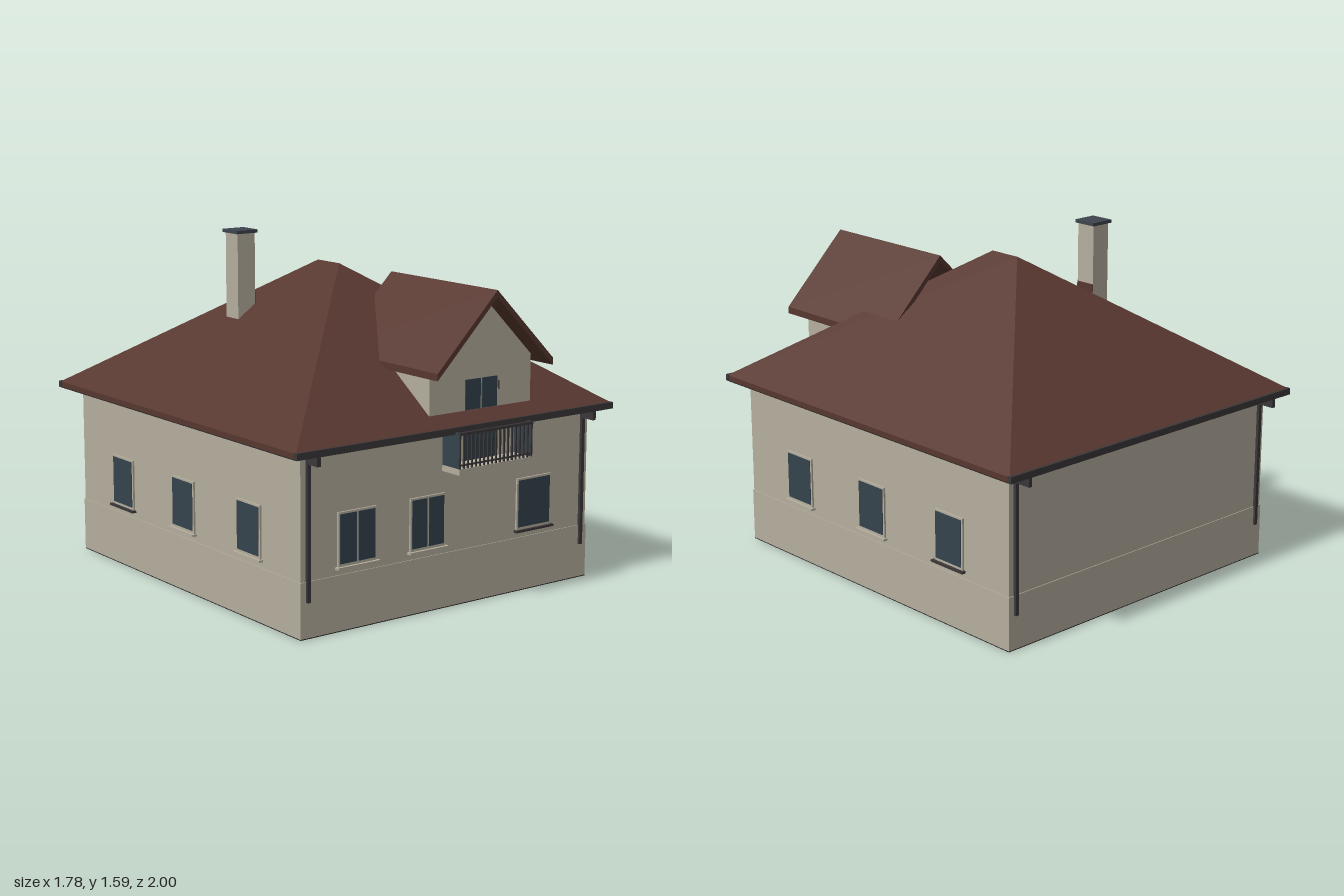
import * as THREE from 'three';

const paint = (name, color, side = THREE.FrontSide) => {
  const m = new THREE.MeshStandardMaterial({ color, side });
  m.name = name;
  return m;
};

export function createModel() {
  const house = new THREE.Group();
  house.name = 'house';
  const plaster = paint('plaster', 0xb5ae9e);
  const tile = paint('roofTile', 0x57372f);
  const metal = paint('darkMetal', 0x3b3739);
  const glass = paint('glass', 0x35434d);
  const capBlue = paint('capSlate', 0x3d444d);
  const underside = paint('underside', 0x2b2829);

  const add = (name, geo, mat, parent = house) => {
    const m = new THREE.Mesh(geo, mat);
    m.name = name;
    parent.add(m);
    return m;
  };
  // Box given by its limits on each axis
  const box = (name, mat, x0, x1, y0, y1, z0, z1, parent = house) => {
    const m = add(name, new THREE.BoxGeometry(x1 - x0, y1 - y0, z1 - z0), mat, parent);
    m.position.set((x0 + x1) / 2, (y0 + y1) / 2, (z0 + z1) / 2);
    return m;
  };
  // Outline in x, y extruded from z0 to z1
  const prism = (name, mat, points, z0, z1) => {
    const shape = new THREE.Shape(points.map(p => new THREE.Vector2(...p)));
    const geo = new THREE.ExtrudeGeometry(shape, { depth: z1 - z0, bevelEnabled: false });
    geo.translate(0, 0, z0);
    return add(name, geo, mat);
  };

  // Walls and plinth
  box('walls', plaster, -0.81, 0.81, 0.25, 0.81, -0.907, 0.88);
  box('plinth', plaster, -0.814, 0.814, 0.004, 0.25, -0.911, 0.884);
  box('floorSlab', underside, -0.814, 0.814, 0, 0.004, -0.911, 0.884);

  // Hipped roof: eave rectangle, fascia and short ridge
  const X = 0.885, ZB = -0.99, ZF = 0.955, E = 0.825, F = 0.8;
  const a = [-X, E, ZF], b = [X, E, ZF], c = [X, E, ZB], d = [-X, E, ZB];
  const rf = [0, 1.44, 0.065], rb = [0, 1.44, -0.1];
  const low = p => [p[0], F, p[2]];
  const tris = [a, b, rf, c, d, rb, b, c, rb, b, rb, rf, d, a, rf, d, rf, rb];
  [[a, b], [b, c], [c, d], [d, a]].forEach(([p, q]) => tris.push(low(p), low(q), q, low(p), q, p));
  const roofGeo = new THREE.BufferGeometry();
  roofGeo.setAttribute('position', new THREE.Float32BufferAttribute(tris.flat(), 3));
  roofGeo.computeVertexNormals();
  add('mainRoof', roofGeo, tile);
  box('soffit', underside, -X, X, F - 0.004, F, ZB, ZF);

  // Gutters, elbows and downpipes
  [[ZF, 0.88, 1], [ZB, -0.907, -1]].forEach(([eave, wall, s]) => {
    const span = (p, q) => [Math.min(p, q), Math.max(p, q)];
    box('gutter', metal, -0.888, 0.888, 0.798, 0.828, ...span(eave - s * 0.012, eave + s * 0.01));
    for (const x of [-0.775, 0.775]) {
      box('downpipeElbow', metal, x - 0.009, x + 0.009, 0.757, 0.8, ...span(wall, eave + s * 0.008));
      box('downpipe', metal, x - 0.009, x + 0.009, 0.16, 0.78, ...span(wall, wall + s * 0.014));
    }
  });

  // Dormer: gable front, cheeks and a chevron roof
  const DX = 0.16;
  prism('dormerGable', plaster,
    [[DX - 0.29, 0.875], [DX + 0.29, 0.875], [DX + 0.29, 1.09], [DX, 1.38], [DX - 0.29, 1.09]], 0.86, 0.885);
  for (const s of [-1, 1]) {
    const x = DX + s * 0.28;
    box('dormerCheek', plaster, x - 0.01, x + 0.01, 0.86, 1.09, 0.5, 0.87);
  }
  prism('dormerRoof', tile,
    [[DX - 0.33, 1.048], [DX, 1.378], [DX + 0.33, 1.048], [DX + 0.33, 1.08], [DX, 1.41], [DX - 0.33, 1.08]],
    0.25, 0.987);

  // Balcony door, below and above the eave
  for (const x of [0.07, 0.165]) {
    box('balconyDoor', glass, x, x + 0.086, 0.65, 0.796, 0.88, 0.885);
    box('dormerWindow', glass, x, x + 0.086, 0.877, 1.012, 0.885, 0.89);
  }
  box('doorHandle', metal, 0.259, 0.263, 0.95, 0.99, 0.885, 0.892);

  // Balcony with railing
  const balcony = new THREE.Group();
  balcony.name = 'balcony';
  house.add(balcony);
  box('balconySlab', plaster, -0.05, 0.37, 0.622, 0.65, 0.88, 0.997, balcony);
  box('topRail', metal, -0.05, 0.37, 0.798, 0.81, 0.985, 1, balcony);
  box('bottomRail', metal, -0.05, 0.37, 0.662, 0.669, 0.989, 0.996, balcony);
  for (let i = 0; i <= 18; i++) {
    const x = -0.046 + i * 0.412 / 18;
    box('baluster', metal, x - 0.0035, x + 0.0035, 0.65, 0.8, 0.989, 0.996, balcony);
  }
  for (const x of [-0.05, 0.362]) box('sidePanel', glass, x, x + 0.008, 0.65, 0.808, 0.88, 0.99, balcony);

  // Window facing +z about its own middle: frame, panes and sill
  const makeWindow = (width, panes, sillMat) => {
    const g = new THREE.Group();
    g.name = 'window';
    const h = width / 2;
    const edge = 0.009, gap = 0.01;
    box('windowFrame', plaster, -h, h, 0.287, 0.525, 0, 0.009, g);
    const w = (width - 2 * edge - (panes - 1) * gap) / panes;
    for (let i = 0; i < panes; i++) {
      const x = -h + edge + i * (w + gap);
      box('windowPane', glass, x, x + w, 0.299, 0.516, 0.009, 0.011, g);
    }
    box('windowSill', sillMat, -h - 0.01, h + 0.01, 0.277, 0.287, 0, 0.022, g);
    house.add(g);
    return g;
  };
  [[-0.518, 0.205, 2, plaster], [-0.134, 0.195, 2, plaster], [0.483, 0.205, 1, metal]].forEach(([x, w, n, sill]) => {
    makeWindow(w, n, sill).position.set(x, 0, 0.88);
  });
  for (const s of [-1, 1]) {
    [0.505, -0.015, -0.535].forEach((z, i) => {
      const win = makeWindow(0.182, 1, i === 2 ? metal : plaster);
      win.position.set(s * 0.81, 0, z);
      win.rotation.y = s * Math.PI / 2;
    });
  }

  // Chimney with cap and flashing
  box('chimney', plaster, -0.375, -0.28, 1.1, 1.578, -0.31, -0.212);
  box('chimneyCap', capBlue, -0.385, -0.27, 1.575, 1.59, -0.32, -0.203);
  box('chimneyFlashing', tile, -0.28, -0.277, 1.2, 1.3, -0.31, -0.212);

  return house;
}
